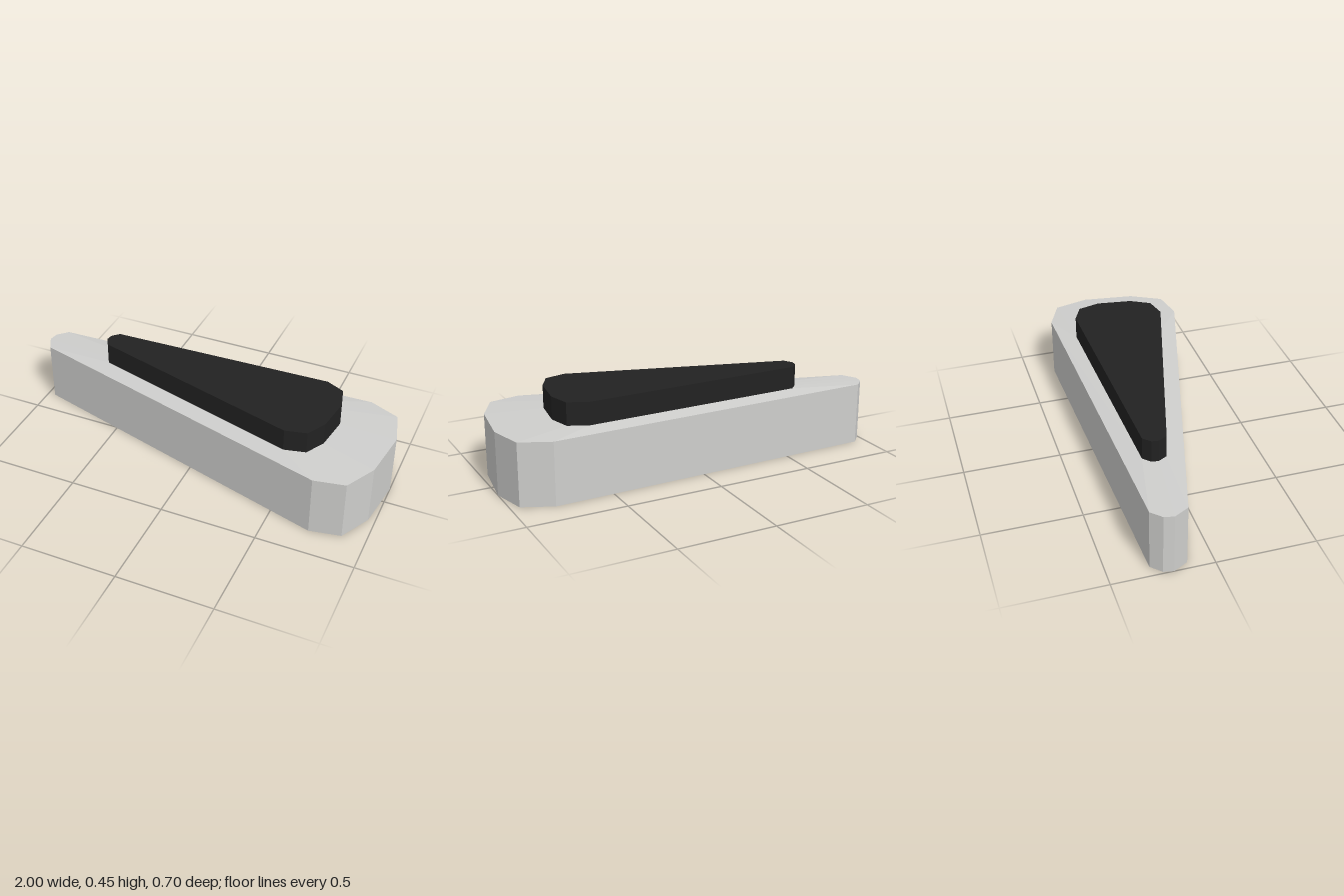
import * as THREE from 'three';

// Outlines as [x, z], clockwise seen from above
const baseOutline = [
  [0.80, -0.35], [0.955, -0.282], [1.0, -0.105], [0.965, 0.16], [0.88, 0.32],
  [0.72, 0.35], [-0.96, -0.125], [-1.0, -0.20], [-0.99, -0.25], [-0.94, -0.30],
];
const padOutline = [
  [0.585, -0.257], [0.68, -0.212], [0.71, -0.10], [0.685, 0.08], [0.63, 0.18],
  [0.52, 0.205], [-0.59, -0.11], [-0.615, -0.155], [-0.61, -0.19], [-0.575, -0.225],
];

// Stacks convex outlines into a closed, faceted solid; rings run bottom to top
function loft(rings) {
  const pos = [];
  const n = rings[0].outline.length;
  const put = (ring, i) => {
    const [x, z] = ring.outline[i % n];
    pos.push(x, ring.y, z);
  };
  for (let r = 0; r < rings.length - 1; r++) {
    const lo = rings[r], hi = rings[r + 1];
    for (let i = 0; i < n; i++) {
      put(lo, i + 1); put(lo, i); put(hi, i);
      put(lo, i + 1); put(hi, i); put(hi, i + 1);
    }
  }
  const bottom = rings[0], top = rings[rings.length - 1];
  for (let i = 1; i < n - 1; i++) {
    put(bottom, 0); put(bottom, i); put(bottom, i + 1);
    put(top, 0); put(top, i + 1); put(top, i);
  }
  const geo = new THREE.BufferGeometry();
  geo.setAttribute('position', new THREE.Float32BufferAttribute(pos, 3));
  geo.computeVertexNormals();
  return geo;
}

export function createModel() {
  const model = new THREE.Group();
  model.name = 'taperedBlock';

  const lightGrey = new THREE.MeshStandardMaterial({ color: 0xcececc });
  lightGrey.name = 'light grey';
  const black = new THREE.MeshStandardMaterial({ color: 0x222222 });
  black.name = 'black';

  // Wedge base with straight walls and a gently sloped top
  const base = new THREE.Mesh(loft([
    { outline: baseOutline, y: 0 },
    { outline: baseOutline, y: 0.323 },
    { outline: padOutline, y: 0.335 },
  ]), lightGrey);
  base.name = 'base';

  // Raised dark pad
  const pad = new THREE.Mesh(loft([
    { outline: padOutline, y: 0.335 },
    { outline: padOutline, y: 0.452 },
  ]), black);
  pad.name = 'raisedPad';

  model.add(base, pad);
  return model;
}
